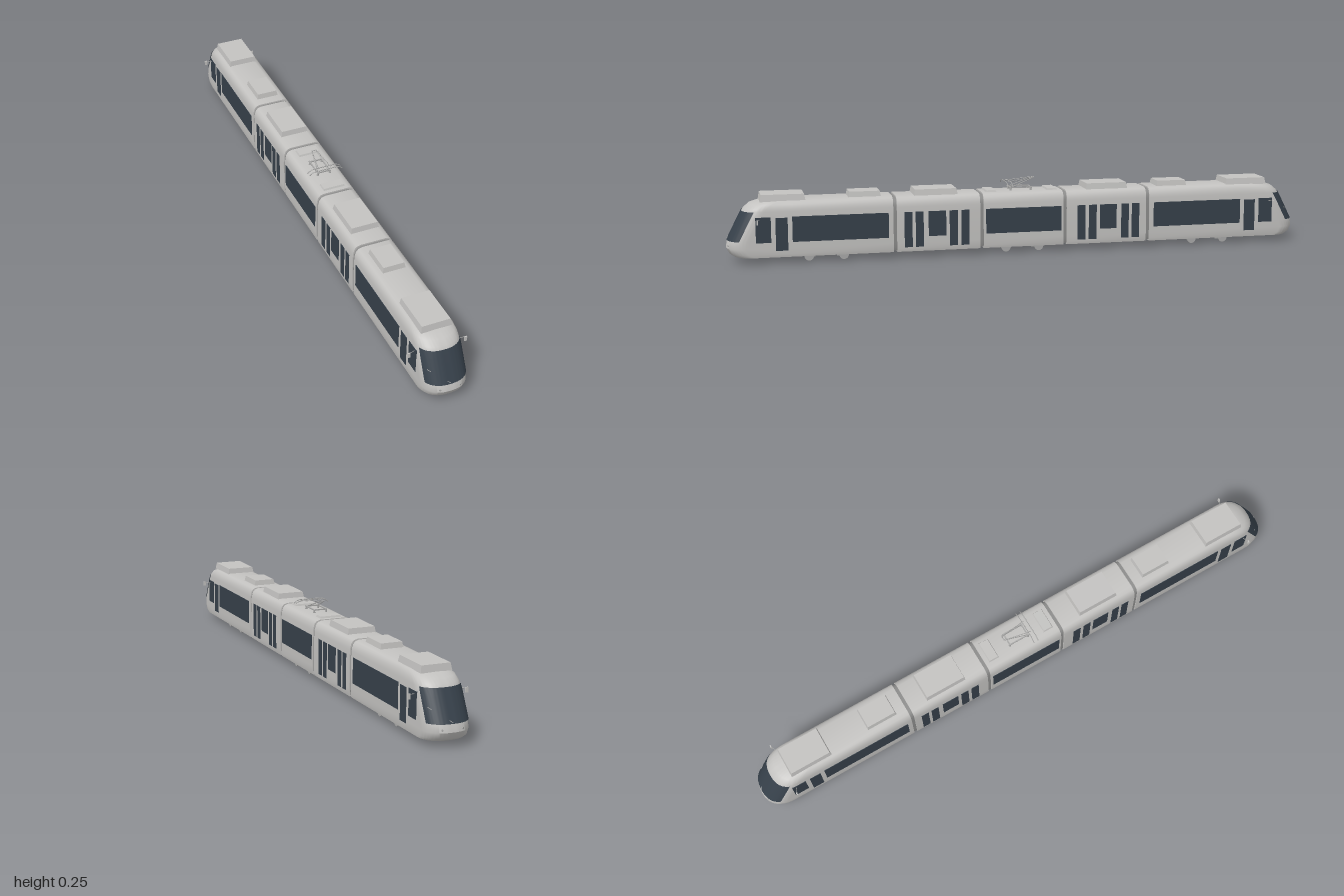
import * as THREE from 'three';
import { toCreasedNormals } from 'three/addons/utils/BufferGeometryUtils.js';

const mat = (name, color, side = THREE.FrontSide) => {
  const m = new THREE.MeshStandardMaterial({ color, side });
  m.name = name;
  return m;
};

// Half cross-section of the car body with nose reach: [half width, height, tip z]
const PROFILE = [
  [0, 0.02, 0.975], [0.071, 0.02, 0.975], [0.073, 0.03, 0.99], [0.073, 0.05, 1.0], [0.073, 0.075, 0.995],
  [0.0725, 0.15, 0.957], [0.071, 0.172, 0.945], [0.07, 0.18, 0.939], [0.066, 0.194, 0.922],
  [0.058, 0.203, 0.895], [0.045, 0.207, 0.862], [0, 0.208, 0.86],
];
const NOSE_START = 0.78, NOSE_DEPTH = 0.07;

export function createModel() {
  const body = mat('bodyGrey', 0xc3c2c0);
  const glass = mat('darkGlass', 0x36404a, THREE.DoubleSide);
  const joint = mat('jointGrey', 0x8c8c8b);
  const metal = mat('metalGrey', 0xa9a9a8);

  const tram = new THREE.Group();
  tram.name = 'tram';

  const add = (parent, name, geo, material, x = 0, y = 0, z = 0) => {
    const m = new THREE.Mesh(geo, material);
    m.name = name;
    m.position.set(x, y, z);
    parent.add(m);
    return m;
  };
  const box = (parent, name, material, w, h, d, x, y, z) =>
    add(parent, name, new THREE.BoxGeometry(w, h, d), material, x, y, z);
  const rod = (parent, name, points, r, material = metal) =>
    add(parent, name, new THREE.TubeGeometry(
      new THREE.CatmullRomCurve3(points.map(p => new THREE.Vector3(...p)), false, 'catmullrom', 0),
      points.length * 4, r, 6), material);

  // Body shell between two z positions, optionally shrunk for the joints
  const shell = (name, z0, z1, material, s = 1) => {
    const half = PROFILE.slice(1, -1);
    const pts = [...half.map(([x, y]) => [x, y]), ...half.map(([x, y]) => [-x, y]).reverse()];
    const shape = new THREE.Shape(pts.map(([x, y]) => new THREE.Vector2(x * s, 0.113 + (y - 0.113) * s)));
    const geo = new THREE.ExtrudeGeometry(shape, { depth: z1 - z0, bevelEnabled: false });
    return add(tram, name, toCreasedNormals(geo, 0.6), material, 0, 0, z0);
  };

  // Surface from rows of points
  const loft = rows => {
    const n = rows[0].length, idx = [];
    for (let j = 0; j < rows.length - 1; j++) for (let i = 0; i < n - 1; i++) {
      const a = j * n + i, c = a + n;
      idx.push(a, a + 1, c, a + 1, c + 1, c);
    }
    const geo = new THREE.BufferGeometry();
    geo.setAttribute('position', new THREE.Float32BufferAttribute(rows.flat(2), 3));
    geo.setIndex(idx);
    return toCreasedNormals(geo, 0.6);
  };
  // Rounded nose outline at one height
  const noseRow = ([w, y, tip], limit, steps, grow = 0) => {
    const row = [];
    for (let i = 0; i <= steps; i++) {
      const t = limit * (2 * i / steps - 1), s = Math.sin(t), c = Math.max(0, Math.cos(t));
      row.push([(w + grow) * Math.sign(s) * Math.abs(s) ** 0.83, y,
        tip - NOSE_DEPTH + (NOSE_DEPTH + grow) * c ** 0.83]);
    }
    return row;
  };

  // Car sections and the joints between them
  shell('centreSection', -0.14, 0.14, body);
  for (const s of [1, -1]) {
    const span = (name, a, b, m, k) => shell(name, Math.min(s * a, s * b), Math.max(s * a, s * b), m, k);
    span('doorSection', 0.152, 0.437, body);
    span('endSection', 0.449, NOSE_START, body);
    span('innerJoint', 0.138, 0.154, joint, 0.95);
    span('outerJoint', 0.435, 0.451, joint, 0.95);
  }

  // Side windows and doors: [z from, z to, y from, y to]
  const panes = [
    [0.855, 0.905, 0.07, 0.155], [0.8, 0.84, 0.042, 0.152], [0.465, 0.785, 0.07, 0.155],
    [0.385, 0.412, 0.035, 0.155], [0.347, 0.374, 0.035, 0.155], [0.27, 0.33, 0.07, 0.155],
    [0.23, 0.258, 0.035, 0.155], [0.19, 0.218, 0.035, 0.155],
  ];
  const pane = (side, z0, z1, y0, y1) =>
    box(tram, y0 < 0.05 ? 'doorGlass' : 'sideWindow', glass, 0.005, y1 - y0, z1 - z0,
      side * 0.0714, (y0 + y1) / 2, (z0 + z1) / 2);
  for (const side of [1, -1]) {
    pane(side, -0.132, 0.132, 0.07, 0.155);
    for (const [a, b, c, d] of panes) {
      pane(side, a, b, c, d);
      pane(side, -b, -a, c, d);
    }
  }

  // Roof equipment with tapered tops
  const roofBox = (name, w, d, top, z) => {
    const h = top - 0.203, geo = new THREE.BoxGeometry(w, h, d), p = geo.attributes.position;
    for (let i = 0; i < p.count; i++) if (p.getY(i) > 0) {
      p.setX(i, p.getX(i) * (1 - 0.008 / w));
      p.setZ(i, p.getZ(i) * (1 - 0.008 / d));
    }
    geo.computeVertexNormals();
    add(tram, name, geo, body, 0, 0.203 + h / 2, z);
  };
  for (const s of [1, -1]) {
    roofBox('cabRoofUnit', 0.104, 0.15, 0.226, s * 0.813);
    roofBox('endRoofUnit', 0.08, 0.11, 0.225, s * 0.54);
    roofBox('doorSectionRoofUnit', 0.1, 0.15, 0.226, s * 0.3);
    roofBox('centreRoofUnit', 0.08, 0.04, 0.213, s * 0.107);
  }

  // Cab ends
  const cab = () => {
    const g = new THREE.Group();
    g.name = 'cabEnd';
    add(g, 'nose', loft(PROFILE.map(p => [[-p[0], p[1], NOSE_START],
      ...noseRow(p, Math.PI / 2, 40), [p[0], p[1], NOSE_START]])), body);
    add(g, 'windscreen', loft(PROFILE.slice(4, 7).map(p => noseRow(p, 1.15, 30, 0.002))), glass);
    rod(g, 'wiper', [[-0.062, 0.12, 0.954], [-0.035, 0.101, 0.976], [0, 0.078, 0.997]], 0.001);
    for (const s of [1, -1]) {
      // headlights
      for (const [x, y, z, r] of [[0.033, 0.058, 0.992, 0.0035], [0.041, 0.061, 0.986, 0.0025]]) {
        const lamp = add(g, 'headlight', new THREE.CylinderGeometry(r, r, 0.006, 14), metal, s * x, y, z);
        lamp.rotation.set(Math.PI / 2, 0, -s * 0.4);
      }
      // mirrors
      rod(g, 'mirrorArm', [[s * 0.068, 0.145, 0.89], [s * 0.092, 0.148, 0.898]], 0.001);
      box(g, 'mirror', body, 0.009, 0.016, 0.004, s * 0.095, 0.142, 0.9);
    }
    return g;
  };
  const front = cab(), back = cab();
  back.rotation.y = Math.PI;
  tram.add(front, back);

  // Bogies: two axles each under the end and centre sections
  for (const zc of [0.672, 0, -0.672]) {
    const bogie = new THREE.Group();
    bogie.name = 'bogie';
    bogie.position.z = zc;
    tram.add(bogie);
    for (const z of [0.058, -0.058]) {
      const axle = add(bogie, 'axle', new THREE.CylinderGeometry(0.003, 0.003, 0.09, 8), metal, 0, 0.015, z);
      axle.rotation.z = Math.PI / 2;
      for (const s of [1, -1]) {
        const wheel = add(bogie, 'wheel', new THREE.CylinderGeometry(0.016, 0.016, 0.008, 20), metal, s * 0.047, 0.016, z);
        wheel.rotation.z = Math.PI / 2;
        box(bogie, 'brakeBlock', metal, 0.004, 0.012, 0.02, s * 0.03, 0.015, z * 0.8);
      }
    }
    box(bogie, 'motor', metal, 0.044, 0.008, 0.02, 0, 0.017, 0);
  }

  // Pantograph
  const panto = new THREE.Group();
  panto.name = 'pantograph';
  tram.add(panto);
  for (const s of [1, -1]) {
    box(panto, 'baseRail', metal, 0.004, 0.004, 0.08, s * 0.022, 0.217, 0);
    box(panto, 'baseCrossbar', metal, 0.048, 0.004, 0.004, 0, 0.217, s * 0.035);
    for (const z of [0.035, -0.035])
      add(panto, 'insulator', new THREE.CylinderGeometry(0.003, 0.004, 0.012, 10), metal, s * 0.022, 0.211, z);
    rod(panto, 'lowerArm', [[s * 0.02, 0.218, 0.03], [s * 0.008, 0.249, -0.05]], 0.0015);
    rod(panto, 'upperArm', [[s * 0.008, 0.249, -0.05], [s * 0.022, 0.237, 0.045]], 0.0012);
  }
  rod(panto, 'knee', [[-0.01, 0.249, -0.05], [0.01, 0.249, -0.05]], 0.0015);
  for (const z of [0.037, 0.053])
    rod(panto, 'contactBow', [[-0.061, 0.227, z], [-0.052, 0.234, z], [-0.04, 0.238, z],
      [0.04, 0.238, z], [0.052, 0.234, z], [0.061, 0.227, z]], 0.0015);

  return tram;
}
